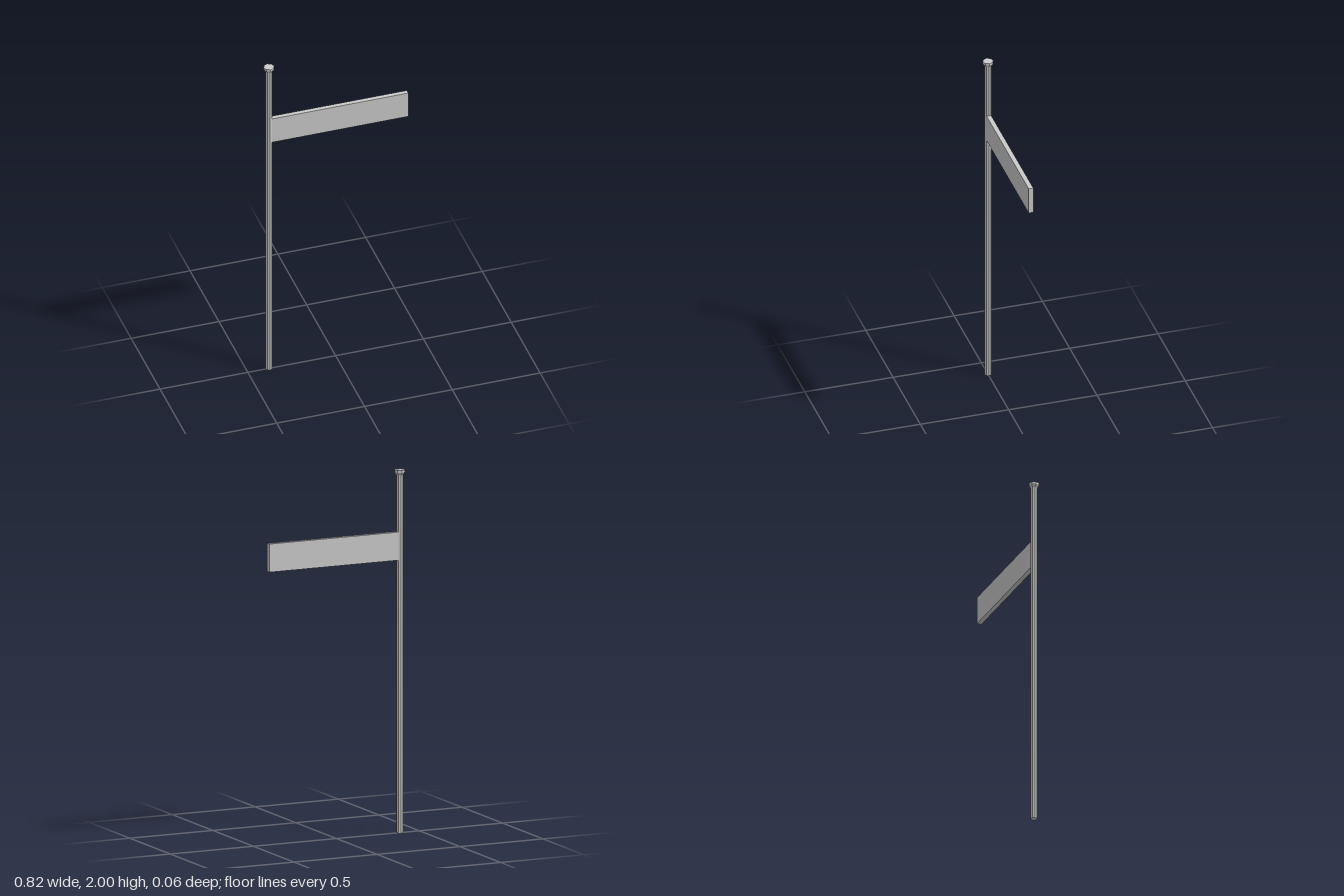
import * as THREE from 'three';

export function createModel() {
  const group = new THREE.Group();
  const material = new THREE.MeshStandardMaterial({ color: 0xcccccc, flatShading: true });
  const poleX = -0.38, sides = 8;

  const add = (name, geometry, x, y) => {
    const mesh = new THREE.Mesh(geometry, material);
    mesh.name = name;
    mesh.position.set(x, y, 0);
    group.add(mesh);
  };

  // Octagonal pole standing on the ground
  add('pole', new THREE.CylinderGeometry(0.019, 0.019, 1.98, sides), poleX, 0.99);

  // Flared cap with a short straight rim and a flat top
  const capProfile = [[0.019, 1.972], [0.03, 1.988], [0.03, 2], [0, 2]]
    .map(([r, y]) => new THREE.Vector2(r, y));
  add('cap', new THREE.LatheGeometry(capProfile, sides), poleX, 0);

  // Sign board, its inner end sunk into the pole
  const left = -0.38, right = 0.41;
  add('signBoard', new THREE.BoxGeometry(right - left, 0.155, 0.026), (left + right) / 2, 1.582);

  return group;
}
